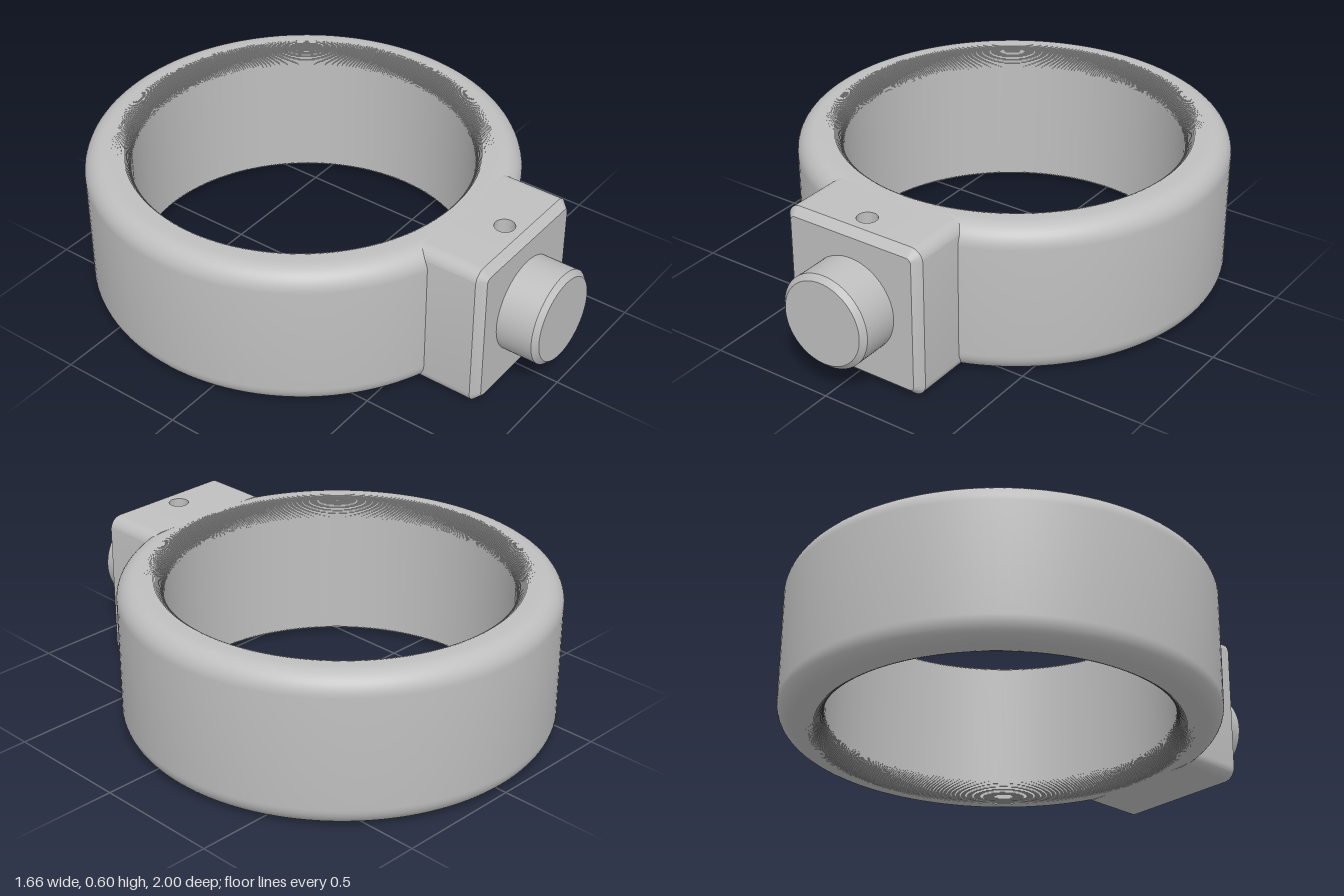
import * as THREE from 'three';
import { toCreasedNormals } from 'three/addons/utils/BufferGeometryUtils.js';

const HEIGHT = 0.6, RING_Z = -0.17;

// Rounded rectangle, optionally with a rectangular slot cut into its top edge
function roundedRect(x, y0, y1, r, slotHalf = 0, slotFloor = 0) {
  const s = new THREE.Shape();
  s.moveTo(-x + r, y0);
  s.lineTo(x - r, y0);
  s.absarc(x - r, y0 + r, r, -Math.PI / 2, 0, false);
  s.lineTo(x, y1 - r);
  s.absarc(x - r, y1 - r, r, 0, Math.PI / 2, false);
  if (slotHalf) {
    s.lineTo(slotHalf, y1);
    s.lineTo(slotHalf, slotFloor);
    s.lineTo(-slotHalf, slotFloor);
    s.lineTo(-slotHalf, y1);
  }
  s.lineTo(-x + r, y1);
  s.absarc(-x + r, y1 - r, r, Math.PI / 2, Math.PI, false);
  s.lineTo(-x, y0 + r);
  s.absarc(-x + r, y0 + r, r, Math.PI, Math.PI * 1.5, false);
  return s;
}

// Ring section: smooth outer fillets, finely stepped inner fillets
function ringProfile() {
  const R = 0.83, r = 0.655, fo = 0.08, fi = 0.075, steps = 24;
  const upper = [], inner = [];
  for (let i = 0; i <= 10; i++) {
    const a = (i / 10) * Math.PI / 2;
    upper.push([R - fo + fo * Math.cos(a), HEIGHT - fo + fo * Math.sin(a)]);
  }
  for (let i = 0; i <= steps; i++) {
    const a = (i / steps) * Math.PI / 2;
    const rad = r + fi - fi * Math.sin(a);
    const y = HEIGHT - fi + fi * Math.cos(a);
    if (i) inner.push([rad, inner[inner.length - 1][1]]); // tread
    inner.push([rad, y]); // riser
  }
  const half = [...upper, ...inner];
  const mirrored = half.map(([x, y]) => [x, HEIGHT - y]).reverse();
  const all = [...half, ...mirrored, half[0]];
  return all.map(([x, y]) => new THREE.Vector2(x, y));
}

export function createModel() {
  const model = new THREE.Group();
  model.name = 'ringClamp';
  const grey = new THREE.MeshStandardMaterial({ color: 0xbfbfbf });
  grey.name = 'plain grey';

  const add = (name, geometry, parent = model) => {
    const mesh = new THREE.Mesh(toCreasedNormals(geometry, 0.5), grey);
    mesh.name = name;
    parent.add(mesh);
    return mesh;
  };

  // Ring band
  add('ringBand', new THREE.LatheGeometry(ringProfile(), 128)).position.z = RING_Z;

  // Mounting block, slotted for the insert that carries the screw hole
  const block = new THREE.Group();
  block.name = 'mountingBlock';
  model.add(block);
  const back = 0.56, seam = 0.805, front = 0.835, slot = 0.06, floor = 0.35;
  add('blockBody', new THREE.ExtrudeGeometry(
    roundedRect(0.295, 0, HEIGHT, 0.05, slot, floor),
    { depth: seam - back, bevelEnabled: false, curveSegments: 8 }
  ), block).position.z = back;

  // Chamfered front face
  add('blockFace', new THREE.ExtrudeGeometry(
    roundedRect(0.265, 0.03, HEIGHT - 0.03, 0.02),
    { depth: 0.001, bevelThickness: 0.03, bevelSize: 0.03, bevelSegments: 1, curveSegments: 8 }
  ), block).position.z = front - 0.031;

  // Insert with the screw hole, open at the top
  const insert = new THREE.Shape([
    new THREE.Vector2(-slot, -seam), new THREE.Vector2(slot, -seam),
    new THREE.Vector2(slot, -back), new THREE.Vector2(-slot, -back),
  ]);
  insert.holes.push(new THREE.Path().absarc(0, -0.733, 0.039, 0, Math.PI * 2, true));
  const insertGeometry = new THREE.ExtrudeGeometry(insert,
    { depth: HEIGHT - floor, bevelEnabled: false, curveSegments: 32 });
  insertGeometry.rotateX(-Math.PI / 2);
  add('screwHole', insertGeometry, block).position.y = floor;

  // Round knob with a chamfered end
  const knob = new THREE.LatheGeometry(
    [[0, 0.82], [0.185, 0.82], [0.185, 0.98], [0.165, 1], [0, 1]]
      .map(([x, y]) => new THREE.Vector2(x, y)), 64);
  knob.rotateX(Math.PI / 2);
  add('knob', knob).position.y = 0.302;

  return model;
}
